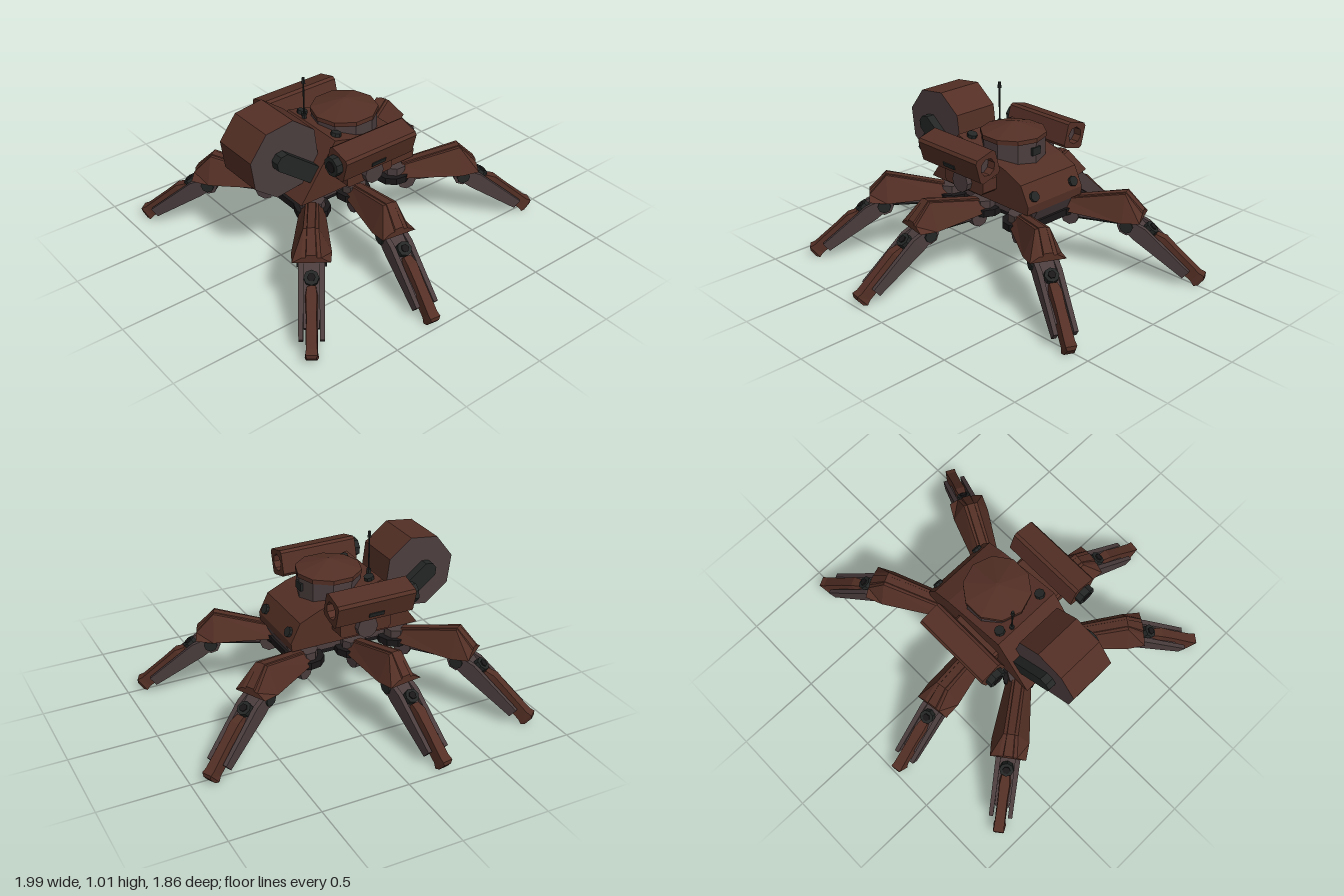
import * as THREE from 'three';

const material = (name, color) => Object.assign(new THREE.MeshStandardMaterial({ color }), { name });

export function createModel() {
  const rust = material('rust brown armour', 0x532f25);
  const steel = material('warm grey steel', 0x4b3d3e);
  const dark = material('dark metal', 0x232625);
  const black = material('black underside', 0x1a1718);
  const model = new THREE.Group();
  model.name = 'sixLeggedWalker';

  // Faceted mesh from any geometry
  function add(parent, name, geometry, mat, x = 0, y = 0, z = 0) {
    const g = geometry.index ? geometry.toNonIndexed() : geometry;
    g.computeVertexNormals();
    const mesh = new THREE.Mesh(g, mat);
    mesh.name = name;
    mesh.position.set(x, y, z);
    parent.add(mesh);
    return mesh;
  }
  const box = (w, h, d) => new THREE.BoxGeometry(w, h, d);
  const cyl = (r, h, n = 8, r2 = r) => new THREE.CylinderGeometry(r2, r, h, n);
  const cylX = (r, h, n = 8) => cyl(r, h, n).rotateZ(Math.PI / 2);
  const cylZ = (r, h, n = 8) => cyl(r, h, n).rotateX(Math.PI / 2);
  const shapeOf = pts => new THREE.Shape(pts.map(p => new THREE.Vector2(...p)));

  // Side profile of [z, y] points, extruded across x and centred on x = 0
  function profileX(pts, width) {
    return new THREE.ExtrudeGeometry(shapeOf(pts), { depth: width, bevelEnabled: false })
      .rotateY(-Math.PI / 2).translate(width / 2, 0, 0);
  }

  // Rectangle with cut corners
  function chamfered(w, h, c) {
    const a = w / 2, b = h / 2;
    return [[-a + c, -b], [a - c, -b], [a, -b + c], [a, b - c],
      [a - c, b], [-a + c, b], [-a, b - c], [-a, -b + c]];
  }

  // Trapezoid sections [x, bottom, top, half width below, half width above] joined along x
  function loft(sections) {
    const rings = sections.map(([x, b, t, wb, wt]) => [[x, b, -wb], [x, b, wb], [x, t, wt], [x, t, -wt]]);
    const pos = [];
    const quad = (a, b, c, d) => pos.push(...a, ...b, ...c, ...a, ...c, ...d);
    quad(...rings[0]);
    quad(...[...rings[rings.length - 1]].reverse());
    for (let k = 0; k < rings.length - 1; k++) {
      for (let i = 0; i < 4; i++) {
        const j = (i + 1) % 4;
        quad(rings[k + 1][i], rings[k + 1][j], rings[k][j], rings[k][i]);
      }
    }
    const g = new THREE.BufferGeometry();
    g.setAttribute('position', new THREE.Float32BufferAttribute(pos, 3));
    return g;
  }

  // Hull and chassis
  add(model, 'hull', profileX([[0.5, 0.45], [0.27, 0.765], [-0.12, 0.66], [-0.23, 0.61],
    [-0.285, 0.5], [-0.28, 0.45]], 0.42), rust);
  add(model, 'chassis', profileX([[0.46, 0.45], [0.42, 0.37], [-0.24, 0.37], [-0.28, 0.45]], 0.27), steel);
  add(model, 'bellyPlate', box(0.24, 0.04, 0.72), black, 0, 0.36, 0.1);

  // Turret with a low conical lid
  add(model, 'turret', cyl(0.18, 0.22, 10), steel, 0, 0.67, 0.045);
  add(model, 'turretLidRim', cyl(0.187, 0.025, 10), rust, 0, 0.7875, 0.045);
  add(model, 'turretLid', cyl(0.187, 0.05, 10, 0.01), rust, 0, 0.825, 0.045);
  add(model, 'turretSensor', box(0.06, 0.045, 0.03), dark, 0, 0.725, -0.125);

  // Front drum carried by two arms
  const drum = new THREE.CylinderGeometry(0.22, 0.22, 0.28, 8, 1, false, Math.PI / 12).rotateZ(Math.PI / 2);
  add(model, 'drum', drum, [rust, steel, steel], 0, 0.725, 0.545);

  // Antenna
  add(model, 'antenna', cyl(0.005, 0.25, 6), dark, -0.09, 0.87, 0.25);
  add(model, 'antennaTip', cyl(0.012, 0.035, 6, 0.008), dark, -0.09, 0.99, 0.25);
  add(model, 'antennaBase', cyl(0.014, 0.03, 6), dark, -0.09, 0.768, 0.25);

  for (const s of [1, -1]) {
    const side = s > 0 ? 'left' : 'right';
    add(model, side + 'DrumArm', profileX(chamfered(0.33, 0.1, 0.03), 0.05), dark,
      s * 0.165, 0.665, 0.485).rotation.x = -0.66;

    // Hull bolts
    add(model, side + 'TopBolt', cyl(0.029, 0.03), dark, s * 0.15, 0.757, 0.22).rotation.x = -0.27;
    add(model, side + 'RearBolt', cyl(0.029, 0.03), dark, s * 0.15, 0.54, -0.267).rotation.x = -1.1;

    // Pod mount
    add(model, side + 'PodMount', profileX(chamfered(0.31, 0.1, 0.015), 0.1), rust, s * 0.26, 0.57, 0.115);
    add(model, side + 'PodPivot', cylX(0.062, 0.035, 10), steel, s * 0.325, 0.57, 0.11);
    add(model, side + 'PodStrut', box(0.03, 0.1, 0.1), steel, s * 0.325, 0.62, 0.11);

    // Tilted launcher pod, open at the rear
    const pod = new THREE.Group();
    pod.name = side + 'Pod';
    pod.position.set(s * 0.335, 0.718, 0);
    pod.rotation.z = -s * 0.27;
    model.add(pod);
    const outline = shapeOf(chamfered(0.145, 0.15, 0.015));
    outline.holes.push(new THREE.Path().setFromPoints(
      [...Array(8)].map((_, i) => new THREE.Vector2(Math.cos(-i * Math.PI / 4), Math.sin(-i * Math.PI / 4)).multiplyScalar(0.05))));
    add(pod, 'podShell', new THREE.ExtrudeGeometry(outline, { depth: 0.47, bevelEnabled: false }), rust, 0, 0, -0.11);
    add(pod, 'podCore', cylZ(0.049, 0.42), steel, 0, 0, 0.15);
    add(pod, 'podNozzle', cylZ(0.056, 0.04), dark, 0, 0, 0.378);
    add(pod, 'podLens', cylZ(0.032, 0.006), black, 0, 0, 0.4);
    add(pod, 'podSlot', box(0.008, 0.024, 0.09), dark, s * 0.074, -0.025, 0.13);
  }

  // One leg pointing along local +x, hip at the origin
  function makeLeg(name) {
    const leg = new THREE.Group();
    leg.name = name;
    add(leg, 'hipDisc', cyl(0.1, 0.04, 10), black, -0.02, 0.36, 0);
    add(leg, 'hipCap', cyl(0.07, 0.05, 8), steel, -0.01, 0.4, 0);
    add(leg, 'hipJoint', cylZ(0.052, 0.11), steel, 0.05, 0.33, 0);
    add(leg, 'thigh', loft([[0.01, 0.36, 0.42, 0.07, 0.035], [0.36, 0.35, 0.5, 0.105, 0.04],
      [0.46, 0.36, 0.39, 0.1, 0.05]]), rust);
    add(leg, 'thighRidge', loft([[0.03, 0.41, 0.432, 0.03, 0.02], [0.36, 0.48, 0.505, 0.03, 0.02],
      [0.46, 0.37, 0.405, 0.035, 0.025]]), rust);
    add(leg, 'thighBeam', box(0.36, 0.04, 0.09), steel, 0.2, 0.345, 0);
    add(leg, 'pushRod', cyl(0.007, 0.33, 6).rotateZ(Math.PI / 2), dark, 0.21, 0.303, 0);
    add(leg, 'kneeJoint', cylZ(0.055, 0.13), steel, 0.38, 0.32, 0);
    add(leg, 'kneePin', cylZ(0.038, 0.155), dark, 0.38, 0.32, 0);

    // Shin slopes down from the knee
    const shin = new THREE.Group();
    shin.name = 'shin';
    shin.position.set(0.38, 0.32, 0);
    shin.rotation.z = -0.698;
    leg.add(shin);
    add(shin, 'shinCore', loft([[0, -0.03, 0.045, 0.045, 0.045], [0.36, 0, 0.045, 0.04, 0.04]]), steel);
    for (const s of [1, -1]) {
      add(shin, 'shinRail', loft([[-0.01, -0.03, 0.04, 0.014, 0.014], [0.08, -0.03, 0.065, 0.014, 0.014],
        [0.42, 0.005, 0.06, 0.012, 0.012]]), steel, 0, 0, s * 0.054);
    }
    add(shin, 'shinBolt', cyl(0.04, 0.05), dark, 0.11, 0.055, 0);
    add(shin, 'shinBoltHead', cyl(0.022, 0.008, 6), black, 0.11, 0.083, 0);
    add(shin, 'foot', loft([[0.15, 0.02, 0.07, 0.025, 0.022], [0.2, 0.015, 0.09, 0.037, 0.028],
      [0.3, 0.01, 0.085, 0.032, 0.025], [0.47, 0.01, 0.08, 0.03, 0.028],
      [0.5, 0.004, 0.088, 0.036, 0.03], [0.515, 0.02, 0.07, 0.028, 0.022]]), rust);
    return leg;
  }

  // Three legs a side: hip position and outward direction
  const stations = [['front', 0.17, 0.4, 0.79, 0.61], ['middle', 0.18, 0.115, 0.989, 0.148],
    ['rear', 0.17, -0.19, 0.447, -0.894]];
  for (const [label, x, z, dx, dz] of stations) {
    for (const s of [1, -1]) {
      const leg = makeLeg(label + (s > 0 ? 'Left' : 'Right') + 'Leg');
      leg.position.set(s * x, 0, z);
      leg.rotation.y = -Math.atan2(dz, s * dx);
      model.add(leg);
    }
  }
  return model;
}
